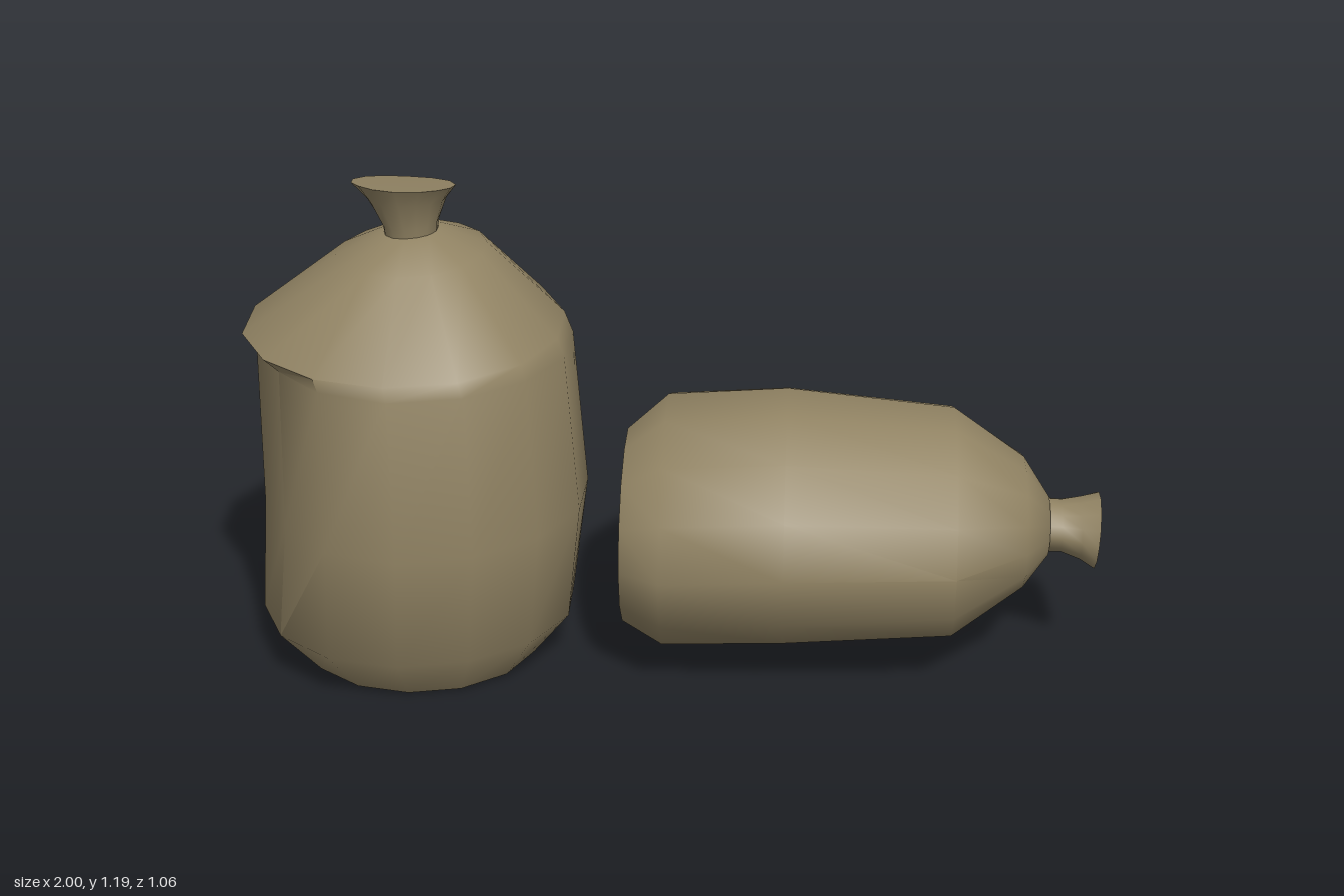
import * as THREE from 'three';
import { toCreasedNormals } from 'three/addons/utils/BufferGeometryUtils.js';

const SIDES = 14;

// Joins rings [cx, cy, cz, radiusA, radiusB, dent, tilt] into a closed skin.
// a and b span each ring; dent flattens the side around dentAngle; tilt slants the ring along the axis.
function loft(rings, axis, a, b, dentAngle = 0, wobble = 0) {
  const point = (i, j) => {
    const [cx, cy, cz, ra, rb, dent = 0, tilt = 0] = rings[i];
    const t = ((j % SIDES) / SIDES) * Math.PI * 2;
    const near = Math.max(0, Math.cos(t - dentAngle));
    const k = 1 + wobble * Math.sin(3 * t + i) - dent * near ** 6;
    return new THREE.Vector3(cx, cy, cz)
      .addScaledVector(a, Math.cos(t) * ra * k)
      .addScaledVector(b, Math.sin(t) * rb * k)
      .addScaledVector(axis, ra > 0 ? Math.sin(t) * tilt : 0);
  };
  const pos = [];
  const tri = (...pts) => pts.forEach((p) => pos.push(p.x, p.y, p.z));
  for (let i = 0; i < rings.length - 1; i++) {
    for (let j = 0; j < SIDES; j++) {
      const p = point(i, j), q = point(i, j + 1);
      const r = point(i + 1, j), s = point(i + 1, j + 1);
      if (rings[i][3] > 0) tri(p, r, q);
      if (rings[i + 1][3] > 0) tri(q, r, s);
    }
  }
  const geo = new THREE.BufferGeometry();
  geo.setAttribute('position', new THREE.Float32BufferAttribute(pos, 3));
  return toCreasedNormals(geo, 0.8);
}

export function createModel() {
  const burlap = new THREE.MeshStandardMaterial({ color: 0x928464 });
  burlap.name = 'burlap';
  const model = new THREE.Group();
  model.name = 'sacks';

  const addSack = (name, body, neck, axis, a, b, dentAngle) => {
    const sack = new THREE.Group();
    sack.name = name;
    const bodyMesh = new THREE.Mesh(loft(body, axis, a, b, dentAngle, 0.012), burlap);
    bodyMesh.name = 'body';
    const neckMesh = new THREE.Mesh(loft(neck, axis, a, b, 0, 0.04), burlap);
    neckMesh.name = 'tiedNeck';
    sack.add(bodyMesh, neckMesh);
    model.add(sack);
  };

  // Standing sack, with a dented panel below its shoulder
  addSack(
    'standingSack',
    [
      [-0.6, 0.005, 0.13, 0, 0],
      [-0.6, 0.018, 0.14, 0.285, 0.27, 0, -0.01],
      [-0.61, 0.125, 0.13, 0.38, 0.37],
      [-0.595, 0.41, 0.13, 0.4, 0.4, 0.09],
      [-0.61, 0.79, 0.12, 0.385, 0.375, 0.09],
      [-0.62, 0.835, 0.12, 0.38, 0.365, 0, -0.015],
      [-0.595, 1.02, 0.115, 0.17, 0.2],
      [-0.595, 1.07, 0.12, 0.065, 0.08],
      [-0.595, 1.07, 0.12, 0, 0],
    ],
    [
      [-0.595, 1.05, 0.12, 0, 0],
      [-0.595, 1.05, 0.12, 0.058, 0.075],
      [-0.595, 1.09, 0.125, 0.062, 0.076],
      [-0.605, 1.145, 0.125, 0.09, 0.095, 0, 0.01],
      [-0.61, 1.178, 0.125, 0.12, 0.118, 0, 0.02],
      [-0.61, 1.18, 0.125, 0, 0],
    ],
    new THREE.Vector3(0, 1, 0),
    new THREE.Vector3(1, 0, 0),
    new THREE.Vector3(0, 0, 1),
    Math.PI * 0.75,
  );

  // Sack lying on its side, neck towards its left and slightly back
  addSack(
    'lyingSack',
    [
      [-0.11, 0.31, -0.02, 0, 0],
      [-0.125, 0.315, -0.02, 0.27, 0.23],
      [-0.035, 0.325, -0.06, 0.36, 0.295],
      [0.245, 0.345, -0.125, 0.375, 0.295],
      [0.635, 0.35, -0.2, 0.34, 0.262],
      [0.8, 0.352, -0.235, 0.2, 0.15],
      [0.86, 0.335, -0.255, 0.08, 0.07],
      [0.86, 0.335, -0.255, 0, 0],
    ],
    [
      [0.84, 0.335, -0.25, 0, 0],
      [0.84, 0.335, -0.25, 0.073, 0.065],
      [0.89, 0.335, -0.26, 0.072, 0.062],
      [0.935, 0.332, -0.27, 0.088, 0.073],
      [0.972, 0.33, -0.278, 0.11, 0.088, 0, 0.006],
      [0.972, 0.33, -0.278, 0, 0],
    ],
    new THREE.Vector3(0.974, 0, -0.225),
    new THREE.Vector3(0.225, 0, 0.974),
    new THREE.Vector3(0, 1, 0),
    0,
  );

  return model;
}
